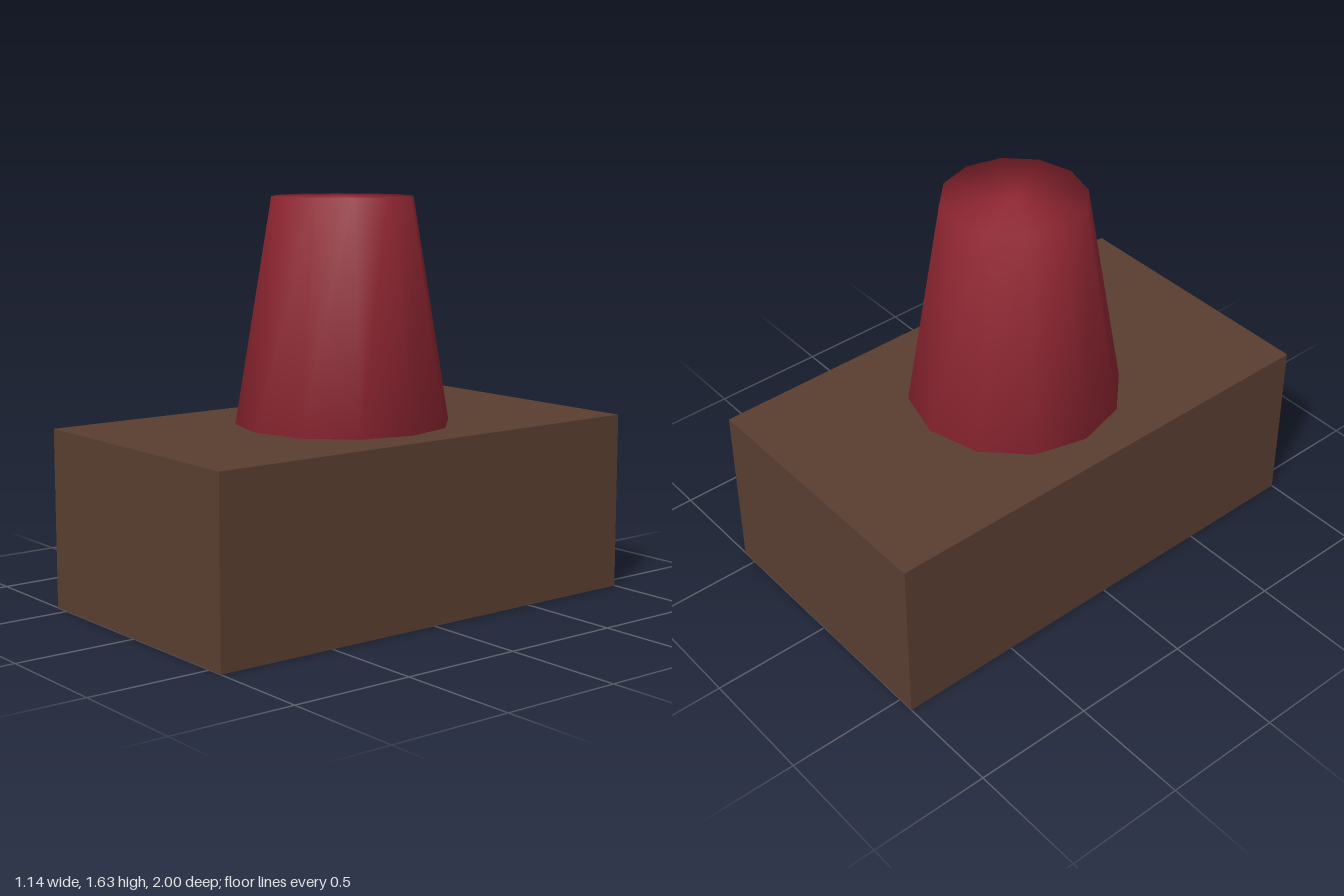
import * as THREE from 'three';
import { mergeVertices } from 'three/addons/utils/BufferGeometryUtils.js';

const BASE_HEIGHT = 0.725;
const TOTAL_HEIGHT = 1.63;

// Twelve-sided frustum whose smooth normals run across the rims
function smoothFrustum(topRadius, bottomRadius, height, sides) {
  const geometry = new THREE.CylinderGeometry(topRadius, bottomRadius, height, sides);
  geometry.deleteAttribute('normal');
  geometry.deleteAttribute('uv');
  const merged = mergeVertices(geometry, 1e-4);
  merged.computeVertexNormals();
  return merged;
}

export function createModel() {
  const model = new THREE.Group();
  model.name = 'taperedPostOnBlock';

  const brown = new THREE.MeshStandardMaterial({ color: 0x5a3e30 });
  brown.name = 'dark brown';
  const red = new THREE.MeshStandardMaterial({ color: 0x922733 });
  red.name = 'deep red';

  // Rectangular block, long in z
  const base = new THREE.Mesh(new THREE.BoxGeometry(1.14, BASE_HEIGHT, 2), brown);
  base.name = 'baseBlock';
  base.position.y = BASE_HEIGHT / 2;
  model.add(base);

  // Tapered post standing on the block
  const height = TOTAL_HEIGHT - BASE_HEIGHT;
  const post = new THREE.Mesh(smoothFrustum(0.285, 0.434, height, 12), red);
  post.name = 'taperedPost';
  post.position.y = BASE_HEIGHT + height / 2;
  model.add(post);

  return model;
}
